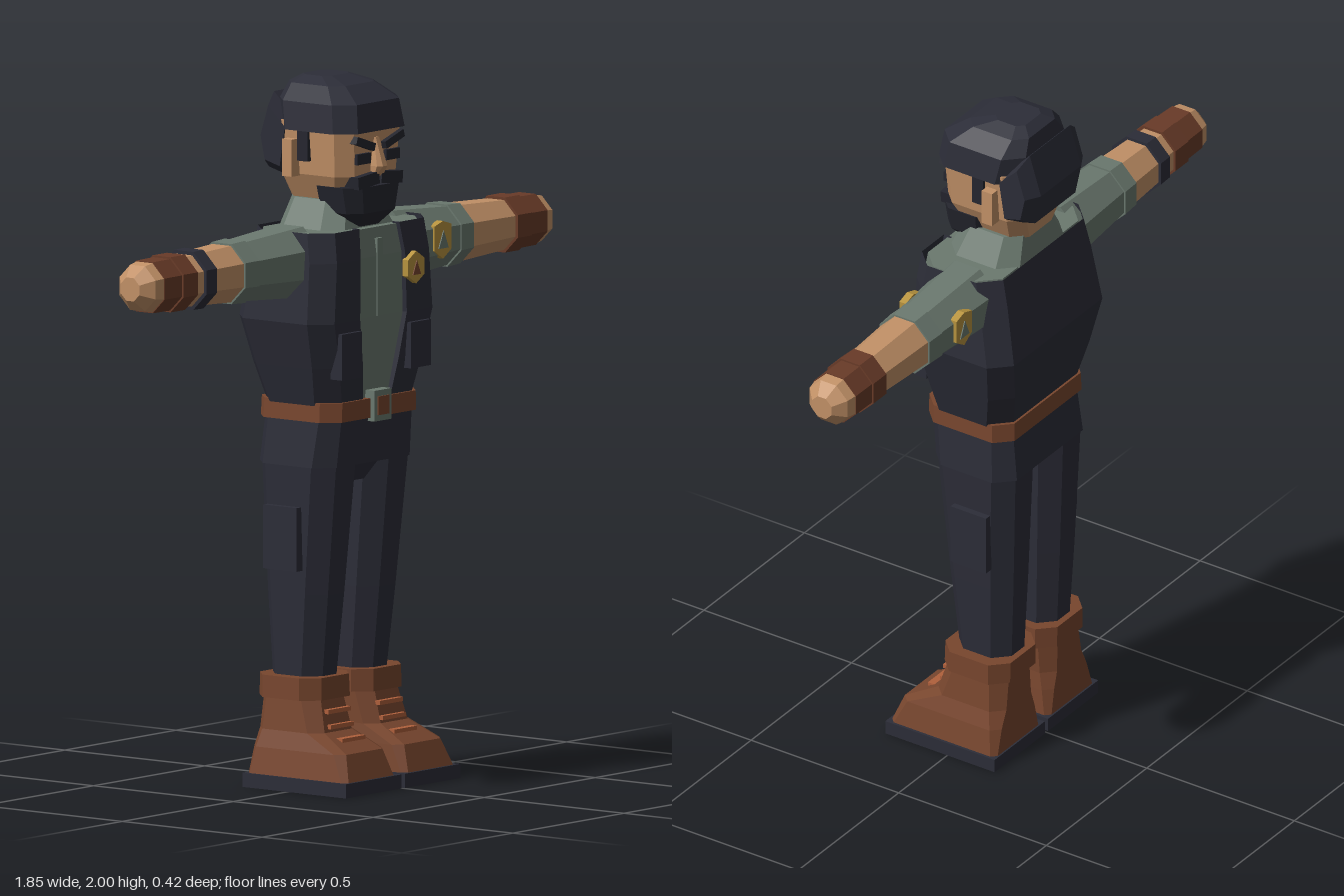
import * as THREE from 'three';

const mat = (name, color, side = THREE.FrontSide) => new THREE.MeshStandardMaterial({ name, color, side });

// Chamfered rectangle seen from above: eight [x, z] points
const ring = (x0, x1, z0, z1, c) => [
  [x0 + c, z1], [x1 - c, z1], [x1, z1 - c], [x1, z0 + c],
  [x1 - c, z0], [x0 + c, z0], [x0, z0 + c], [x0, z1 - c]];

// Faceted skin over rings stacked in y; open rings get no caps
function loft(sections, closed = true) {
  const pos = [], n = sections[0].pts.length;
  const P = (i, j) => { const s = sections[i], p = s.pts[j % n]; return [p[0], s.y, p[1]]; };
  const tri = (a, b, c) => pos.push(...a, ...b, ...c);
  for (let i = 0; i < sections.length - 1; i++)
    for (let j = 0; j < (closed ? n : n - 1); j++) {
      tri(P(i, j), P(i, j + 1), P(i + 1, j + 1));
      tri(P(i, j), P(i + 1, j + 1), P(i + 1, j));
    }
  if (closed) for (let j = 1; j < n - 1; j++) {
    const t = sections.length - 1;
    tri(P(t, 0), P(t, j), P(t, j + 1));
    tri(P(0, 0), P(0, j + 1), P(0, j));
  }
  const g = new THREE.BufferGeometry();
  g.setAttribute('position', new THREE.Float32BufferAttribute(pos, 3));
  g.computeVertexNormals();
  return g;
}
// rows: [y, x0, x1, z0, z1, chamfer]; side -1 mirrors across x
const stack = (rows, s = 1) => loft(rows.map(([y, a, b, z0, z1, c]) =>
  ({ y, pts: s > 0 ? ring(a, b, z0, z1, c) : ring(-b, -a, z0, z1, c) })));
// Symmetric rows: [y, halfWidth, z0, z1, chamfer]
const body = rows => stack(rows.map(([y, h, ...r]) => [y, -h, h, ...r]));
const flat = g => { const f = g.index ? g.toNonIndexed() : g; f.computeVertexNormals(); return f; };

export function createModel() {
  const root = new THREE.Group();
  root.name = 'officer';
  const navy = mat('navy cloth', 0x2c2d38, THREE.DoubleSide), dark = mat('dark hair', 0x25262f);
  const shirt = mat('grey green shirt', 0x6b796f), skin = mat('skin', 0xc29167);
  const leather = mat('brown leather', 0x78462e), glove = mat('dark brown leather', 0x693b28);
  const gold = mat('gold', 0xb8943f), lace = mat('orange lace', 0xb0603c);

  const add = (name, g, m, parent = root) => {
    const mesh = new THREE.Mesh(g, m);
    mesh.name = name;
    parent.add(mesh);
    return mesh;
  };
  // Box from its limits
  const box = (name, m, x0, x1, y0, y1, z0, z1) => {
    const b = add(name, new THREE.BoxGeometry(x1 - x0, y1 - y0, z1 - z0), m);
    b.position.set((x0 + x1) / 2, (y0 + y1) / 2, (z0 + z1) / 2);
    return b;
  };
  // Thin plate cut from an outline of [x, y] points
  const plate = (name, m, pts, depth, x, y, z, back = false) => {
    const sh = new THREE.Shape(pts.map(p => new THREE.Vector2(...p)));
    const p = add(name, new THREE.ExtrudeGeometry(sh, { depth, bevelEnabled: false }), m);
    p.position.set(x, y, z);
    if (back) p.rotation.y = Math.PI;
    return p;
  };
  const triangle = [[-0.022, -0.022], [0.022, -0.022], [0, 0.028]];

  // Torso: shirt and open vest
  add('shirt', body([[1.09, 0.2, -0.145, 0.103, 0.055], [1.33, 0.262, -0.188, 0.125, 0.055],
    [1.5, 0.25, -0.16, 0.125, 0.055], [1.58, 0.243, -0.14, 0.113, 0.055]]), shirt);
  const vestRows = [[1.09, 0.21, -0.155, 0.115, 0.06], [1.2, 0.24, -0.18, 0.13, 0.08],
    [1.33, 0.275, -0.2, 0.14, 0.105], [1.5, 0.262, -0.17, 0.138, 0.1], [1.585, 0.255, -0.15, 0.125, 0.09]];
  add('vest', loft(vestRows.map(([y, h, z0, z1, gap]) => {
    const r = ring(-h, h, z0, z1, 0.055);
    return { y, pts: [[gap, z1 - 0.025], [gap, z1], ...r.slice(1), r[0], [-gap, z1], [-gap, z1 - 0.025]] };
  }), false), navy);
  box('shirtPlacket', shirt, -0.012, 0.012, 1.33, 1.55, 0.115, 0.128);
  add('collar', body([[1.575, 0.16, -0.145, 0.09, 0.05], [1.66, 0.11, -0.13, 0.06, 0.04]]), shirt);
  add('belt', body([[1.045, 0.212, -0.166, 0.124, 0.045], [1.1, 0.21, -0.164, 0.124, 0.045]]), leather);
  box('buckle', shirt, -0.038, 0.038, 1.035, 1.122, 0.1, 0.138);
  box('buckleInset', leather, -0.024, 0.024, 1.052, 1.105, 0.134, 0.142);
  add('hips', body([[0.915, 0.214, -0.172, 0.103, 0.05], [1.05, 0.203, -0.156, 0.115, 0.045]]), navy);
  add('crotch', body([[0.86, 0.045, -0.1, 0.05, 0.02], [0.93, 0.08, -0.13, 0.09, 0.02]]), navy);

  // Chest badge
  const hex = Array.from({ length: 6 }, (_, i) =>
    [Math.sin(i * Math.PI / 3) * -0.042, Math.cos(i * Math.PI / 3) * 0.046]);
  plate('chestBadge', gold, hex, 0.02, 0.13, 1.455, 0.134);
  plate('chestBadgeMark', leather, triangle, 0.004, 0.13, 1.452, 0.153).scale.set(0.8, 0.8, 1);

  // Sleeve shields, front and rear of the left arm
  const shield = [[-0.038, 0.04], [-0.038, -0.03], [0, -0.055], [0.038, -0.03], [0.038, 0.04], [0, 0.052]];
  for (const back of [false, true]) {
    const d = back ? -1 : 1;
    plate('sleeveShield', gold, shield, 0.022, 0.36, 1.5, -0.03 + d * 0.075, back);
    plate('sleeveShieldMark', shirt, triangle, 0.004, 0.36, 1.497, -0.03 + d * 0.096, back);
  }

  for (const s of [1, -1]) {
    const span = (name, m, a, b, ...r) => box(name, m, Math.min(s * a, s * b), Math.max(s * a, s * b), ...r);
    // Arm: eight-sided segments running outward, sized across the flats
    const seg = (name, m, x0, x1, r0, r1) => {
      const k = Math.cos(Math.PI / 8);
      const g = new THREE.CylinderGeometry(r1 / k, r0 / k, x1 - x0, 8, 1, false, Math.PI / 8);
      g.rotateZ(-s * Math.PI / 2);
      add(name, flat(g), m).position.set(s * (x0 + x1) / 2, 1.494, -0.03);
    };
    seg('sleeve', shirt, 0.2, 0.47, 0.1, 0.082);
    seg('sleeveCuff', shirt, 0.455, 0.515, 0.088, 0.085);
    seg('forearm', skin, 0.51, 0.73, 0.08, 0.07);
    seg('gloveCuff', glove, 0.72, 0.785, 0.078, 0.078);
    seg('glove', glove, 0.78, 0.862, 0.073, 0.072);
    seg('fist', skin, 0.86, 0.893, 0.07, 0.064);
    seg('fistEnd', skin, 0.893, 0.927, 0.064, 0.033);
    if (s < 0) seg('wristBand', navy, 0.64, 0.685, 0.083, 0.082);

    // Vest pocket, leg and thigh pocket
    span('vestPocket', navy, 0.11, 0.2, 1.17, 1.3, 0.11, 0.15);
    add('leg', stack([[0.3, 0.04, 0.186, -0.14, 0.035, 0.042], [0.55, 0.033, 0.198, -0.152, 0.062, 0.046],
      [0.93, 0.025, 0.212, -0.166, 0.1, 0.05]], s), navy);
    span('thighPocket', navy, 0.17, 0.227, 0.62, 0.8, -0.11, 0.01);

    // Boot
    span('sole', navy, 0.008, 0.258, 0, 0.04, -0.16, 0.21);
    add('boot', stack([[0.04, 0.018, 0.25, -0.155, 0.202, 0.015], [0.115, 0.024, 0.237, -0.153, 0.175, 0.025],
      [0.165, 0.03, 0.222, -0.152, 0.078, 0.035], [0.26, 0.03, 0.212, -0.15, 0.052, 0.04]], s), leather);
    add('bootCuff', stack([[0.255, 0.008, 0.225, -0.16, 0.062, 0.045],
      [0.318, 0.01, 0.224, -0.16, 0.06, 0.045]], s), leather);
    for (const [y, z] of [[0.145, 0.115], [0.18, 0.074], [0.222, 0.064]])
      span('bootLace', lace, 0.065, 0.168, y - 0.006, y + 0.006, z - 0.02, z + 0.012);

    // Face sides
    span('ear', skin, 0.13, 0.168, 1.725, 1.83, -0.09, -0.055);
    span('sideburn', dark, 0.12, 0.152, 1.77, 1.87, -0.048, -0.012);
    span('eye', dark, 0.035, 0.095, 1.765, 1.795, 0.1, 0.123);
    const brow = span('eyebrow', dark, 0.022, 0.108, 1.812, 1.834, 0.1, 0.13);
    brow.rotation.z = s * 0.32;
    span('moustache', dark, 0.005, 0.1, 1.7, 1.735, 0.07, 0.13).rotation.z = -s * 0.1;
  }

  // Head
  add('neck', body([[1.6, 0.085, -0.13, 0.04, 0.03], [1.7, 0.09, -0.13, 0.05, 0.03]]), skin);
  add('head', body([[1.65, 0.095, -0.14, 0.08, 0.04], [1.73, 0.132, -0.155, 0.11, 0.04],
    [1.88, 0.145, -0.15, 0.117, 0.04]]), skin);
  add('nose', stack([[1.725, -0.02, 0.02, 0.08, 0.125, 0.004], [1.755, -0.022, 0.022, 0.08, 0.146, 0.012],
    [1.835, -0.011, 0.011, 0.08, 0.118, 0.004]]), skin);
  add('beard', body([[1.58, 0.06, 0.02, 0.085, 0.02], [1.625, 0.105, -0.03, 0.125, 0.035],
    [1.7, 0.122, -0.042, 0.13, 0.04]]), dark);
  add('cap', body([[1.855, 0.155, -0.14, 0.132, 0.05], [1.935, 0.145, -0.155, 0.12, 0.05],
    [1.98, 0.1, -0.145, 0.055, 0.035], [2, 0.058, -0.115, -0.015, 0.02]]), navy);

  // Hair at the back: outline in z and y, tapered toward both sides
  const hair = [[-0.09, 1.87], [-0.115, 1.715], [-0.19, 1.735], [-0.21, 1.83], [-0.172, 1.95]];
  const hg = loft([[-0.145, 0.72], [-0.1, 1], [0.1, 1], [0.145, 0.72]].map(([y, k]) => ({
    y, pts: hair.map(([z, h]) => [-0.12 + (z + 0.12) * k, 1.83 + (h - 1.83) * k]).reverse(),
  })));
  // Turn the stacking axis onto x: (z, x, y) to (x, y, z)
  const p = hg.attributes.position;
  for (let i = 0; i < p.count; i++) p.setXYZ(i, p.getY(i), p.getZ(i), p.getX(i));
  hg.computeVertexNormals();
  add('backHair', hg, navy);
  return root;
}
